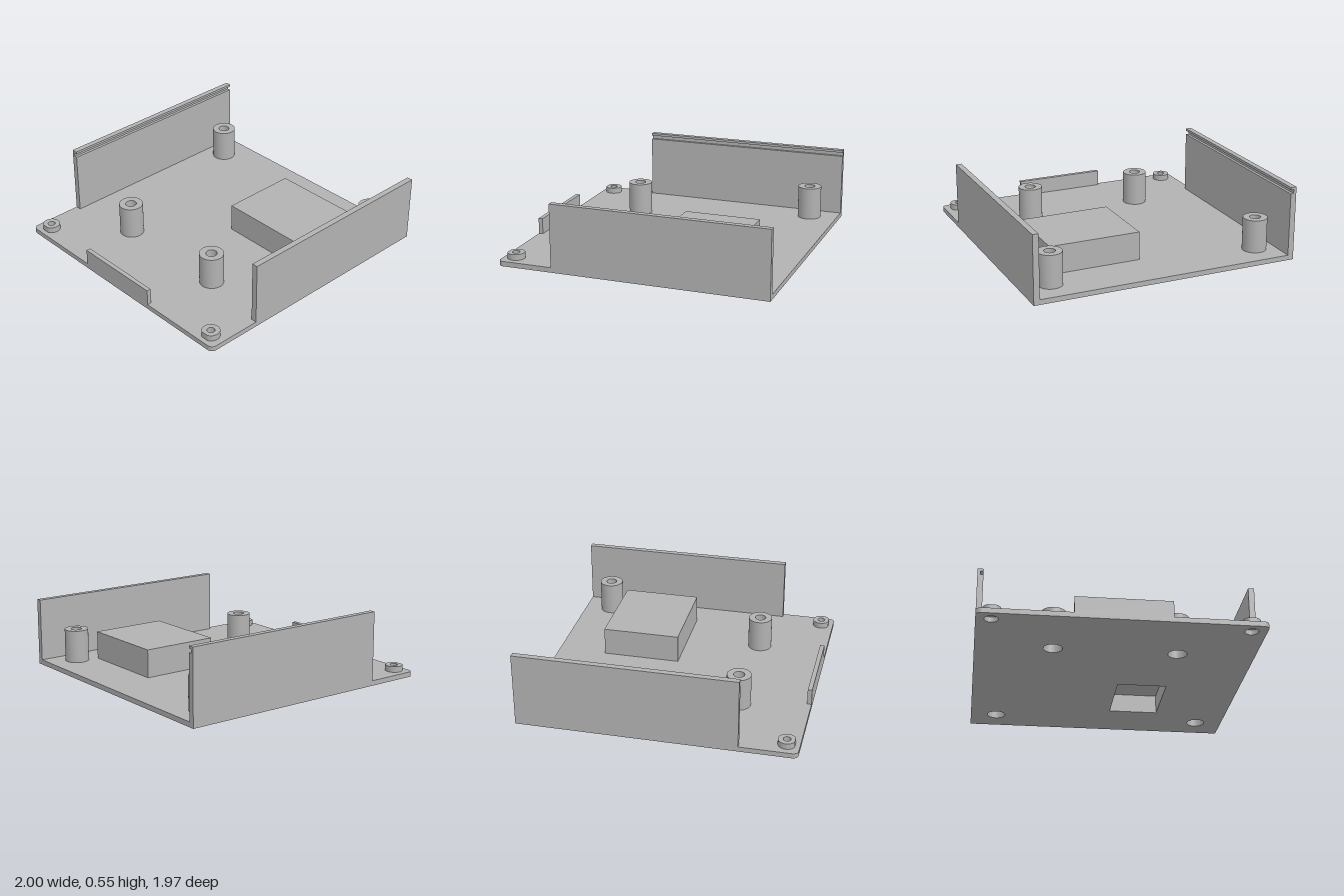
import * as THREE from 'three';
import { toCreasedNormals } from 'three/addons/utils/BufferGeometryUtils.js';

const W = 1, D = 0.987, FLOOR = 0.037, WALL = 0.043, WALL_X = -0.59;

export function createModel() {
  const group = new THREE.Group();
  const grey = new THREE.MeshStandardMaterial({ color: 0xb2b2b2 });
  grey.name = 'grey plastic';

  const add = (name, geometry) => {
    const mesh = new THREE.Mesh(geometry, grey);
    mesh.name = name;
    group.add(mesh);
    return mesh;
  };
  const box = (name, x0, x1, y0, y1, z0, z1) => {
    add(name, new THREE.BoxGeometry(x1 - x0, y1 - y0, z1 - z0))
      .position.set((x0 + x1) / 2, (y0 + y1) / 2, (z0 + z1) / 2);
  };
  // Plan outlines are drawn with shape y = -z and raised from y0 to y1
  const raise = (shape, y0, y1) => {
    const g = new THREE.ExtrudeGeometry(shape, { depth: y1 - y0, bevelEnabled: false, curveSegments: 24 });
    g.rotateX(-Math.PI / 2).translate(0, y0, 0);
    return toCreasedNormals(g, 0.6);
  };
  const roundHole = (x, z, r) => new THREE.Path().absarc(x, -z, r, 0, Math.PI * 2, true);
  const rect = (P, x0, x1, z0, z1) => new P([
    [x0, -z1], [x1, -z1], [x1, -z0], [x0, -z0],
  ].map(([x, y]) => new THREE.Vector2(x, y)));

  const posts = [[0.787, -0.79], [0.787, 0.787], [-0.49, -0.44], [-0.49, 0.437]];
  const bosses = [[-0.908, -0.88], [-0.908, 0.88]];
  const pocket = [0.087, 0.61, 0.083, 0.445];

  // Floor plate: two rounded corners, screw holes and the pocket opening
  const R = 0.04;
  const plate = new THREE.Shape();
  plate.moveTo(W, -D);
  plate.lineTo(W, D);
  plate.lineTo(-W + R, D);
  plate.absarc(-W + R, D - R, R, Math.PI / 2, Math.PI, false);
  plate.lineTo(-W, -D + R);
  plate.absarc(-W + R, -D + R, R, Math.PI, Math.PI * 1.5, false);
  plate.closePath();
  for (const [x, z] of posts) plate.holes.push(roundHole(x, z, 0.068));
  for (const [x, z] of bosses) plate.holes.push(roundHole(x, z, 0.048));
  plate.holes.push(rect(THREE.Path, ...pocket));
  add('floorPlate', raise(plate, 0, FLOOR));

  // Tall screw posts, counterbored from below
  const profile = [
    [0.088, FLOOR], [0.088, 0.28], [0.04, 0.28], [0.04, 0.16], [0.068, 0.16], [0.068, FLOOR],
  ].map(([r, y]) => new THREE.Vector2(r, y));
  for (const [x, z] of posts) {
    add('screwPost', toCreasedNormals(new THREE.LatheGeometry(profile, 40), 0.6)).position.set(x, 0, z);
  }

  // Low corner bosses, trimmed flat toward the plate edges
  for (const [x, z] of bosses) {
    const outline = [];
    for (let i = 0; i < 48; i++) {
      const a = (i / 48) * Math.PI * 2;
      const lim = D - WALL;
      outline.push(new THREE.Vector2(
        Math.max(x + 0.063 * Math.cos(a), -0.965),
        THREE.MathUtils.clamp(-z + 0.063 * Math.sin(a), -lim, lim),
      ));
    }
    const shape = new THREE.Shape(outline);
    shape.holes.push(roundHole(x, z, 0.027));
    add('cornerBoss', raise(shape, FLOOR, 0.08));
  }

  // Raised block, hollowed by the pocket underneath
  const block = [0.07, 0.64, 0.053, 0.73];
  const ring = rect(THREE.Shape, ...block);
  ring.holes.push(rect(THREE.Path, ...pocket));
  add('blockSides', raise(ring, FLOOR, 0.14));
  box('blockTop', block[0], block[1], 0.14, 0.245, block[2], block[3]);

  // Front wall
  box('frontWall', WALL_X, W, FLOOR, 0.5, D - WALL, D);

  // Back wall with a snap groove below its top lip (profile drawn in z, y)
  const zi = -D + WALL, zg = -D + 0.021;
  const lip = new THREE.Shape([
    [-D, FLOOR], [zi, FLOOR], [zi, 0.498], [zg, 0.498], [zg, 0.527], [zi, 0.527], [zi, 0.545], [-D, 0.545],
  ].map(([z, y]) => new THREE.Vector2(-z, y)));
  const wall = new THREE.ExtrudeGeometry(lip, { depth: W - WALL_X, bevelEnabled: false });
  wall.rotateY(Math.PI / 2).translate(WALL_X, 0, 0);
  add('backWall', wall);

  // Short tab on the open edge
  box('edgeTab', -W, -0.968, FLOOR, 0.155, -0.335, 0.335);

  return group;
}
